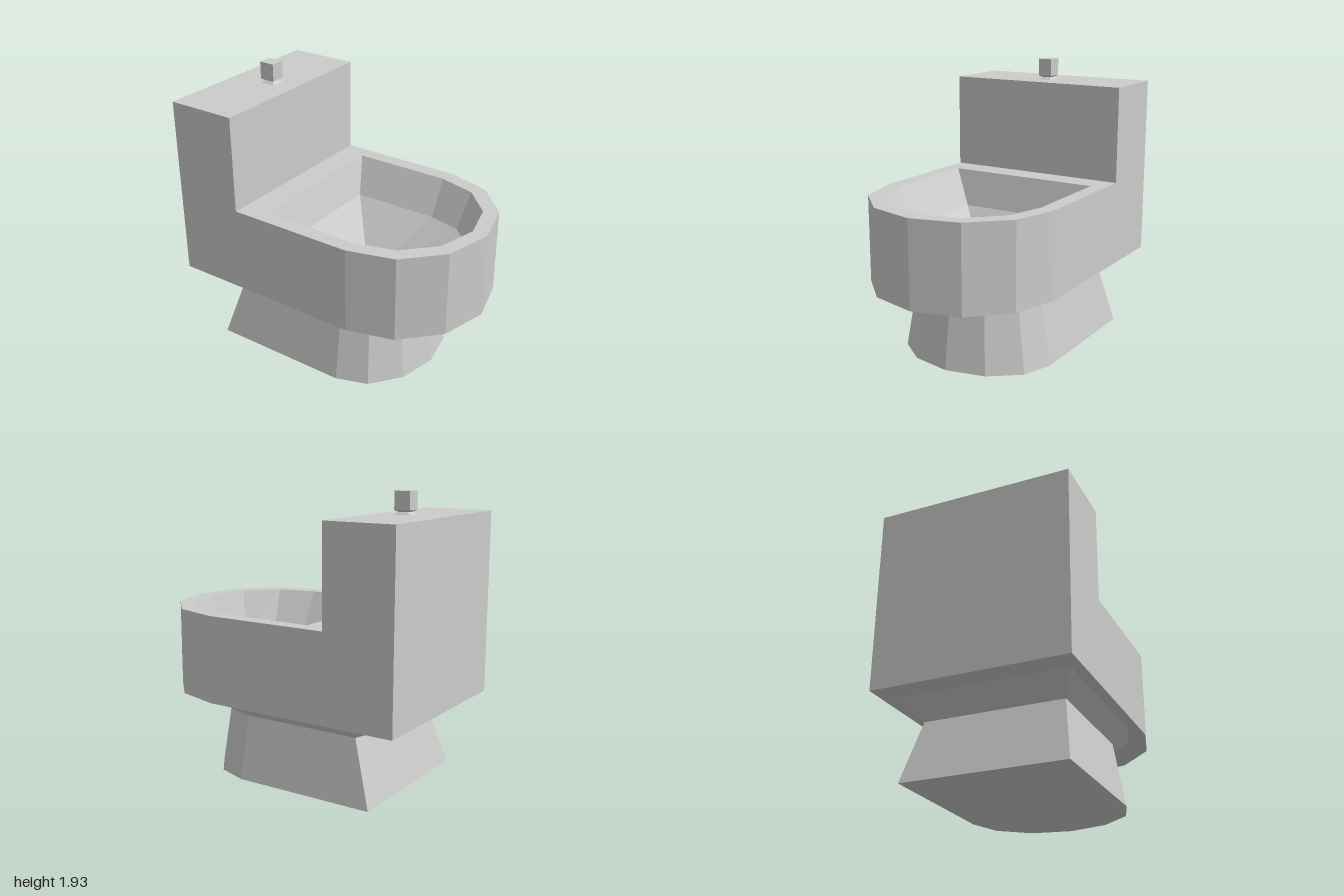
import * as THREE from 'three';

const material = new THREE.MeshStandardMaterial({ color: 0xcccccc, flatShading: true });

// D-shaped section: straight back and sides, half-ellipse nose toward +x
function dRing(y, back, centre, tip, halfWidth) {
  const ring = [[back, y, halfWidth]];
  for (let i = 0; i <= 6; i++) {
    const a = Math.PI / 2 - (i * Math.PI) / 6;
    ring.push([centre + (tip - centre) * Math.cos(a), y, halfWidth * Math.sin(a)]);
  }
  ring.push([back, y, -halfWidth]);
  return ring;
}

// Rectangular section
function boxRing(y, x, hx, hz) {
  return [[x - hx, y, hz], [x + hx, y, hz], [x + hx, y, -hz], [x - hx, y, -hz]];
}

// Flat-shaded skin through successive rings, closed at both ends
function loft(name, rings) {
  const pos = [];
  const tri = (a, b, c) => pos.push(...a, ...b, ...c);
  const n = rings[0].length;
  for (let r = 0; r < rings.length - 1; r++) {
    const lo = rings[r], hi = rings[r + 1];
    for (let i = 0; i < n; i++) {
      const j = (i + 1) % n;
      tri(lo[i], lo[j], hi[j]);
      tri(lo[i], hi[j], hi[i]);
    }
  }
  const first = rings[0], last = rings[rings.length - 1];
  for (let i = 1; i < n - 1; i++) {
    tri(first[0], first[i + 1], first[i]);
    tri(last[0], last[i], last[i + 1]);
  }
  const geometry = new THREE.BufferGeometry();
  geometry.setAttribute('position', new THREE.Float32BufferAttribute(pos, 3));
  geometry.computeVertexNormals();
  const mesh = new THREE.Mesh(geometry, material);
  mesh.name = name;
  return mesh;
}

export function createModel() {
  const group = new THREE.Group();
  group.name = 'toilet';

  // Pedestal, waisted just under the bowl
  group.add(loft('pedestal', [
    dRing(0, -0.78, 0.21, 0.64, 0.55),
    dRing(0.43, -0.64, 0.2, 0.58, 0.475),
    dRing(0.53, -0.84, 0.21, 0.67, 0.585),
  ]));

  // Bowl: outer wall, rim, then down the inside to the basin floor
  group.add(loft('bowl', [
    dRing(0.53, -1, 0.37, 1, 0.655),
    dRing(1.12, -1, 0.37, 1, 0.655),
    dRing(1.12, -0.33, 0.36, 0.895, 0.55),
    dRing(0.87, -0.26, 0.36, 0.82, 0.42),
    dRing(0.59, -0.03, 0.15, 0.29, 0.16),
  ]));

  // Cistern
  group.add(loft('tank', [
    boxRing(1.12, -0.755, 0.245, 0.655),
    boxRing(1.78, -0.755, 0.245, 0.655),
  ]));

  // Flush knob with a pinched neck
  group.add(loft('flushKnob', [
    boxRing(1.78, -0.705, 0.055, 0.05),
    boxRing(1.798, -0.705, 0.033, 0.03),
    boxRing(1.81, -0.705, 0.055, 0.05),
    boxRing(1.93, -0.705, 0.055, 0.05),
  ]));

  return group;
}
